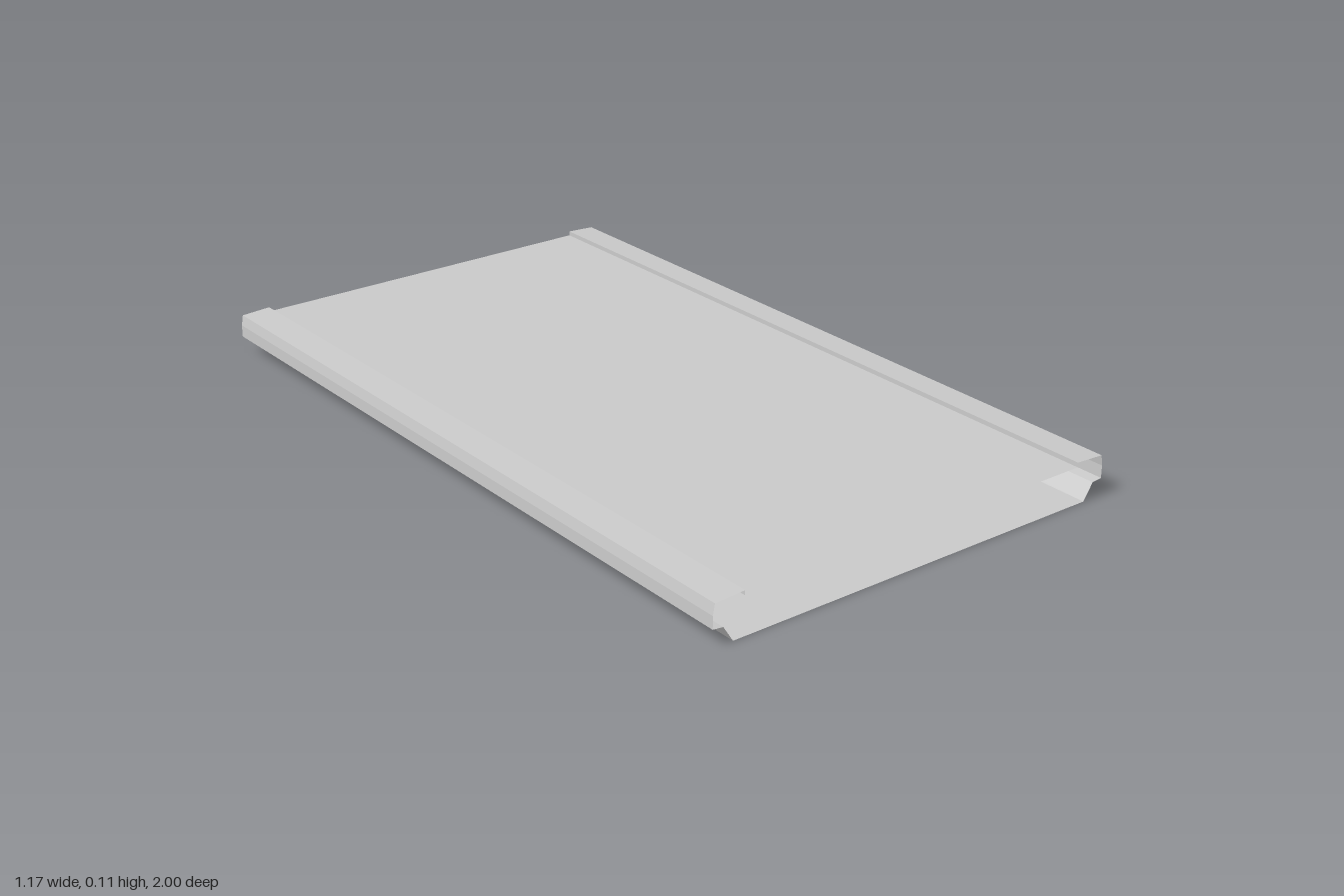
import * as THREE from 'three';

const HALF_LENGTH = 1;
const material = new THREE.MeshStandardMaterial({ color: 0xcccccc, flatShading: true, side: THREE.DoubleSide });

// Thin sheet: a clockwise [x, y] profile swept along z, open at both ends
function sheet(name, profile) {
  const positions = [];
  for (let i = 0; i < profile.length - 1; i++) {
    const [ax, ay] = profile[i], [bx, by] = profile[i + 1];
    const a0 = [ax, ay, -HALF_LENGTH], a1 = [ax, ay, HALF_LENGTH];
    const b0 = [bx, by, -HALF_LENGTH], b1 = [bx, by, HALF_LENGTH];
    positions.push(...a0, ...a1, ...b1, ...a0, ...b1, ...b0);
  }
  const geometry = new THREE.BufferGeometry();
  geometry.setAttribute('position', new THREE.Float32BufferAttribute(positions, 3));
  geometry.computeVertexNormals();
  const mesh = new THREE.Mesh(geometry, material);
  mesh.name = name;
  return mesh;
}

export function createModel() {
  const group = new THREE.Group();
  group.name = 'openPanel';

  // Recessed top and flat underside
  group.add(sheet('topPanel', [[-0.5, 0.097], [0.5, 0.097]]));
  group.add(sheet('bottomPanel', [[0.53, 0], [-0.53, 0]]));

  // Raised edge: step, cap, two-facet side and ledge
  const rail = [[0.5, 0.097], [0.5, 0.109], [0.58, 0.105], [0.585, 0.077], [0.585, 0.045], [0.557, 0.042]];
  // Sloped skirt down to the underside
  const skirt = [[0.557, 0.042], [0.53, 0]];
  const mirror = (profile) => profile.map(([x, y]) => [-x, y]).reverse();

  group.add(sheet('leftRail', rail), sheet('rightRail', mirror(rail)));
  group.add(sheet('leftSkirt', skirt), sheet('rightSkirt', mirror(skirt)));
  return group;
}
